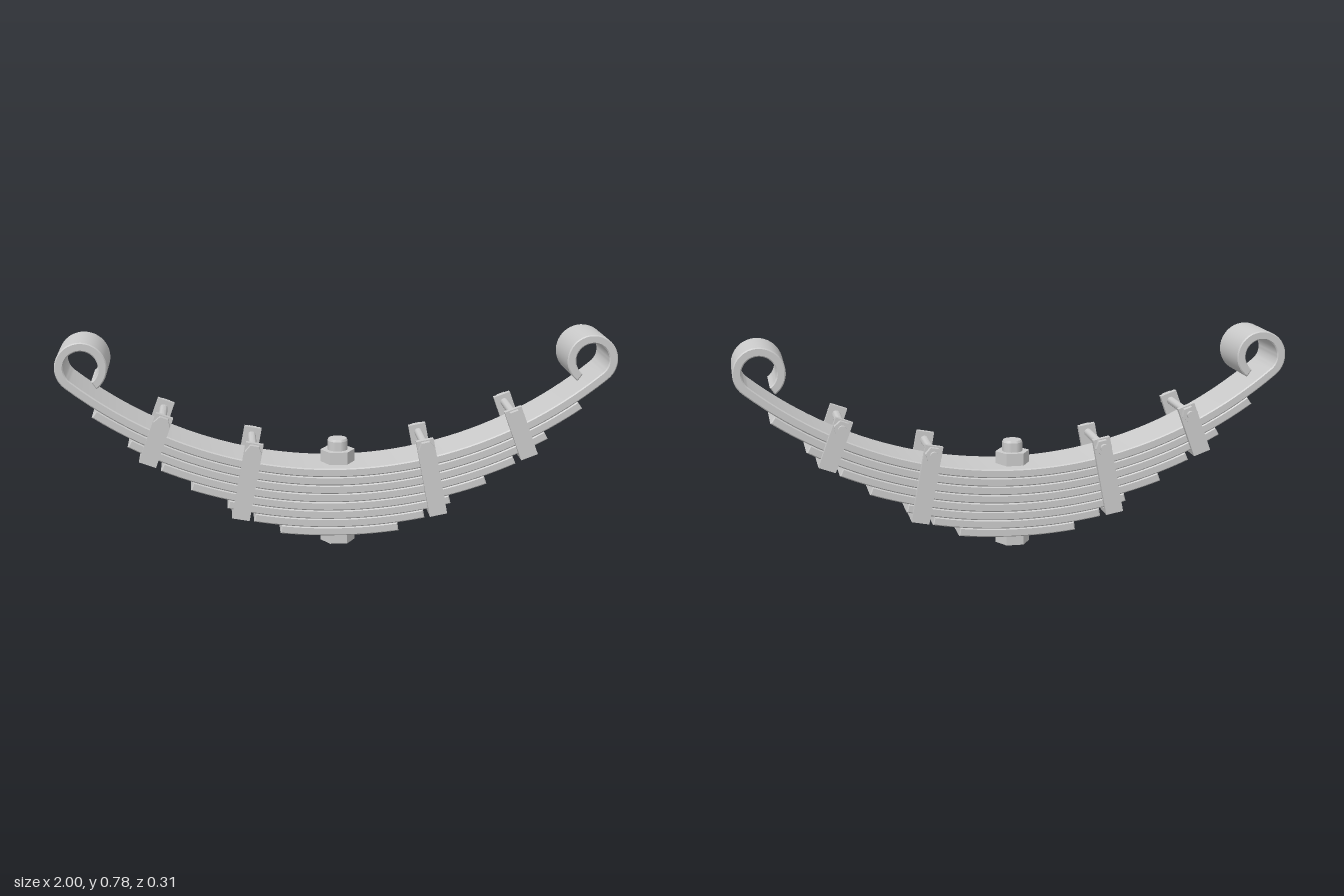
import * as THREE from 'three';
import { toCreasedNormals } from 'three/addons/utils/BufferGeometryUtils.js';

const MID = 0.011;      // z centre of the leaves
const WIDTH = 0.21;
const THICK = 0.0315;
const CY = 1.8;         // centre height of the common leaf curvature
const R0 = 1.5;         // radius of the uppermost surface
const EYE_R = 0.092;
const rad = THREE.MathUtils.degToRad;

export function createModel() {
  const model = new THREE.Group();
  const mat = new THREE.MeshStandardMaterial({ color: 0xcccccc });

  function add(parent, name, geo, x = 0, y = 0, z = 0) {
    const mesh = new THREE.Mesh(geo, mat);
    mesh.name = name;
    mesh.position.set(x, y, z);
    parent.add(mesh);
    return mesh;
  }

  // points along an arc, angles in radians
  function arc(cx, cy, r, a0, a1, n) {
    return Array.from({ length: n + 1 }, (_, i) => {
      const a = a0 + (a1 - a0) * i / n;
      return new THREE.Vector2(cx + r * Math.cos(a), cy + r * Math.sin(a));
    });
  }

  // flat steel strip with softened edges, from a side outline
  function strip(points) {
    const outline = points.filter((p, i) => i === 0 || p.distanceTo(points[i - 1]) > 1e-5);
    const b = 0.004;
    const geo = new THREE.ExtrudeGeometry(new THREE.Shape(outline), {
      depth: WIDTH - 2 * b, bevelThickness: b, bevelSize: b, bevelOffset: -b, bevelSegments: 1,
    });
    geo.translate(0, 0, MID - WIDTH / 2 + b);
    return toCreasedNormals(geo, rad(30));
  }

  // main leaf with a rolled eye at each end
  const down = -Math.PI / 2;
  const t = rad(39.16), curl = rad(35);
  const eyeDist = R0 + THICK - EYE_R;
  const ex = eyeDist * Math.sin(t), ey = CY - eyeDist * Math.cos(t);
  const turn = 2 * Math.PI;
  const inner = EYE_R - THICK;
  add(model, 'mainLeaf', strip([
    ...arc(-ex, ey, EYE_R, down + curl, down - t + turn, 36),
    ...arc(0, CY, R0 + THICK, down - t, down + t, 48),
    ...arc(ex, ey, EYE_R, down + t, down - curl + turn, 36),
    ...arc(ex, ey, inner, down - curl + turn, down + t, 36),
    ...arc(0, CY, R0, down + t, down - t, 48),
    ...arc(-ex, ey, inner, down - t + turn, down + curl, 36),
  ]));

  // stacked leaves, each shorter than the one above
  [0.877, 0.755, 0.64, 0.535, 0.405, 0.31, 0.215].forEach((half, i) => {
    const r = R0 + THICK * (i + 1);
    const a = Math.asin(half / (r + THICK));
    add(model, `leaf${i + 2}`, strip([
      ...arc(0, CY, r + THICK, down - a, down + a, 40),
      ...arc(0, CY, r, down + a, down - a, 40),
    ]));
  });

  // hexagon prism or round rod standing on y, optionally laid along z
  function prism(r, length, sides, alongZ = false, rTop = r) {
    let geo = new THREE.CylinderGeometry(rTop, r, length, sides);
    if (sides === 6) geo.rotateY(Math.PI / 2);
    geo = toCreasedNormals(geo, rad(40));
    return alongZ ? geo.rotateX(-Math.PI / 2) : geo;
  }

  // centre bolt through the stack
  const bolt = new THREE.Group();
  bolt.name = 'centreBolt';
  bolt.position.z = MID;
  model.add(bolt);
  add(bolt, 'centreBoltHead', prism(0.063, 0.05, 6), 0, 0.025);
  add(bolt, 'centreBoltNut', prism(0.063, 0.049, 6), 0, 0.3215);
  add(bolt, 'centreBoltShank', prism(0.037, 0.36, 24), 0, 0.2);
  add(bolt, 'centreBoltTip', prism(0.037, 0.008, 24, false, 0.033), 0, 0.384);

  // rebound clips: U-shaped straps closed by a cross bolt
  const PLATE = 0.021, STRAP = 0.064;
  function clip(x, y, tilt, drop, side) {
    const g = new THREE.Group();
    g.name = side > 0 ? 'leftClip' : 'rightClip';
    g.position.set(side * x, y, MID);
    g.rotation.z = side * tilt;
    model.add(g);
    const h = WIDTH / 2, top = 0.03;
    for (const s of [-1, 1]) {
      add(g, 'clipStrap', new THREE.BoxGeometry(STRAP, top + drop, PLATE),
        0, (top - drop) / 2, s * (h + PLATE / 2));
    }
    add(g, 'clipBase', new THREE.BoxGeometry(STRAP, PLATE, WIDTH), 0, PLATE / 2 - drop, 0);
    const face = h + PLATE;
    add(g, 'clipBoltHead', prism(0.03, 0.021, 6, true), 0, 0, face + 0.0105);
    add(g, 'clipBoltNut', prism(0.03, 0.021, 6, true), 0, 0, -face - 0.0105);
    add(g, 'clipBoltShank', prism(0.015, 2 * face + 0.036, 16, true), 0, 0, -0.018);
    add(g, 'clipBoltTip', prism(0.011, 0.006, 16, true, 0.015), 0, 0, -face - 0.039)
      .rotation.y = 0;
  }
  for (const side of [-1, 1]) {
    clip(0.31, 0.376, rad(10.8), 0.257, side);
    clip(0.631, 0.485, rad(20), 0.16, side);
  }
  return model;
}
